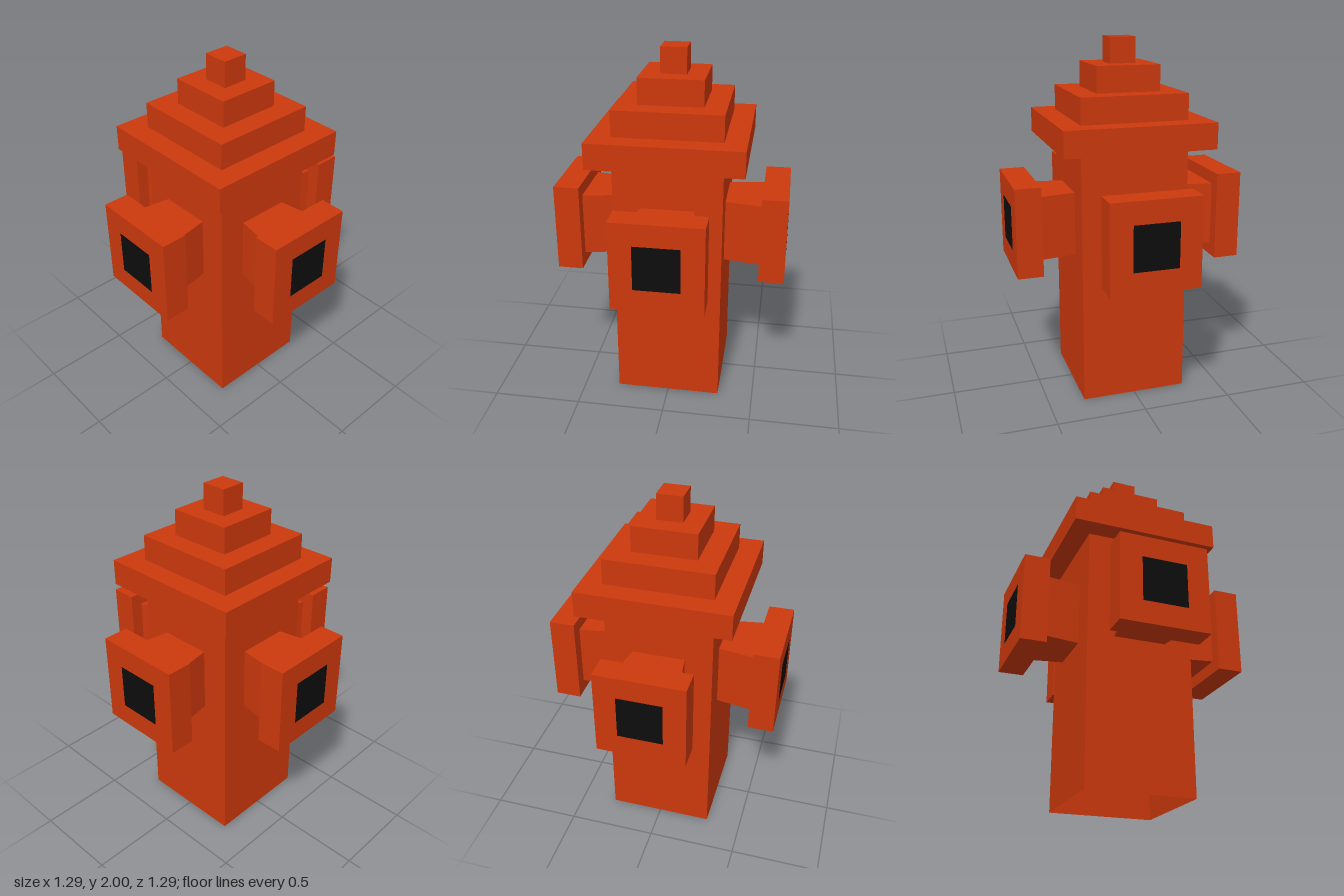
import * as THREE from 'three';

export function createModel() {
  const root = new THREE.Group();
  root.name = 'fireHydrant';
  const red = new THREE.MeshStandardMaterial({ color: 0xcc380d, flatShading: true, side: THREE.DoubleSide });
  const black = new THREE.MeshStandardMaterial({ color: 0x0d0d0d, flatShading: true, side: THREE.DoubleSide });

  const add = (parent, name, geometry, material, y, z = 0) => {
    const mesh = new THREE.Mesh(geometry, material);
    mesh.name = name;
    mesh.position.set(0, y, z);
    parent.add(mesh);
    return mesh;
  };

  // Square barrel, hollow and open at the bottom
  const bodyH = 1.43, r = 0.298 * Math.SQRT2;
  const barrel = new THREE.CylinderGeometry(r, r, bodyH, 4, 1, true).rotateY(Math.PI / 4);
  add(root, 'barrel', barrel, red, bodyH / 2);

  // Stepped bonnet: [half width, bottom, top]
  const tiers = [[0.416, 1.43, 1.573], [0.296, 1.573, 1.716], [0.177, 1.716, 1.859], [0.071, 1.859, 2]];
  tiers.forEach(([half, y0, y1], i) => {
    add(root, `bonnetTier${i + 1}`, new THREE.BoxGeometry(half * 2, y1 - y0, half * 2), red, (y0 + y1) / 2);
  });

  // Neck narrows sideways towards the barrel
  const neckGeometry = new THREE.BoxGeometry(0.356, 0.356, 0.202);
  const p = neckGeometry.attributes.position;
  for (let i = 0; i < p.count; i++) {
    if (p.getZ(i) < 0) p.setX(i, Math.sign(p.getX(i)) * 0.145);
  }
  neckGeometry.computeVertexNormals();
  const capGeometry = new THREE.BoxGeometry(0.496, 0.496, 0.142);
  const plugGeometry = new THREE.PlaneGeometry(0.25, 0.25);

  // Four identical outlets around the barrel
  ['front', 'left', 'back', 'right'].forEach((side, i) => {
    const outlet = new THREE.Group();
    outlet.name = `${side}Outlet`;
    outlet.rotation.y = i * Math.PI / 2;
    add(outlet, 'neck', neckGeometry, red, 1.003, 0.399);
    add(outlet, 'cap', capGeometry, red, 1.003, 0.571);
    add(outlet, 'opening', plugGeometry, black, 1.003, 0.644);
    root.add(outlet);
  });

  return root;
}
